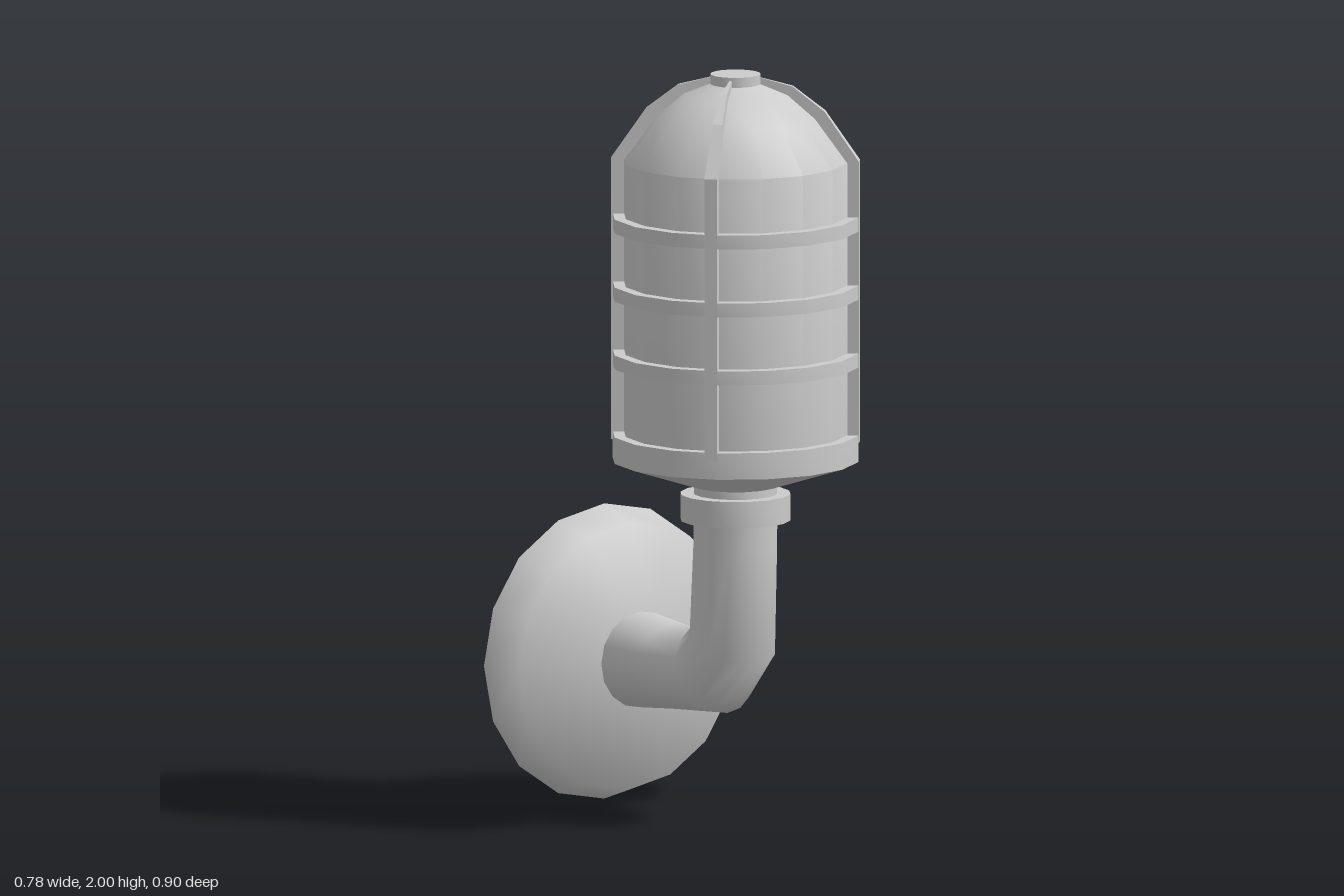
import * as THREE from 'three';
import { toCreasedNormals } from 'three/addons/utils/BufferGeometryUtils.js';

const SIDES = 16;
const AXIS_Z = 0.125; // the lamp stands in front of the wall plate

const material = new THREE.MeshStandardMaterial({ color: 0xcccccc });
const openMaterial = new THREE.MeshStandardMaterial({ color: 0xcccccc, side: THREE.DoubleSide });

const toPoints = (pairs) => pairs.map(([r, y]) => new THREE.Vector2(r, y));

function addMesh(parent, name, geometry, mat = material) {
  const mesh = new THREE.Mesh(geometry, mat);
  mesh.name = name;
  parent.add(mesh);
  return mesh;
}

// Turned part; the profile runs from bottom to top
function turned(parent, name, profile) {
  const geometry = new THREE.LatheGeometry(toPoints(profile), SIDES);
  return addMesh(parent, name, toCreasedNormals(geometry, 0.7), openMaterial);
}

// Band of rectangular section around the lamp axis
function band(parent, name, y0, y1, inner, outer) {
  return turned(parent, name, [[inner, y0], [outer, y0], [outer, y1], [inner, y1]]);
}

// Upright cage bar that follows the dome and narrows towards the axis
function ribGeometry() {
  const shape = new THREE.Shape(toPoints([
    [0.285, 1.03], [0.325, 1.03], [0.325, 1.775], [0.235, 1.905], [0.15, 1.97], [0.05, 1.995],
    [0.05, 1.96], [0.13, 1.93], [0.2, 1.87], [0.285, 1.75],
  ]));
  const geometry = new THREE.ExtrudeGeometry(shape, { depth: 1, bevelEnabled: false });
  const p = geometry.attributes.position;
  for (let i = 0; i < p.count; i++) p.setZ(i, (p.getZ(i) - 0.5) * 0.105 * p.getX(i));
  geometry.computeVertexNormals();
  return geometry;
}

// Bent pipe lofted through sections: [outer z, outer y, inner z, inner y, half width]
function pipeGeometry(sections) {
  const positions = [];
  const index = [];
  sections.forEach(([oz, oy, iz, iy, w], s) => {
    for (let j = 0; j < SIDES; j++) {
      const t = (j / SIDES) * Math.PI * 2;
      const k = Math.cos(t) / 2;
      positions.push(w * Math.sin(t), (oy + iy) / 2 + (oy - iy) * k, (oz + iz) / 2 + (oz - iz) * k);
      if (s === sections.length - 1) continue;
      const a = s * SIDES + j;
      const c = s * SIDES + ((j + 1) % SIDES);
      index.push(a, a + SIDES, c, a + SIDES, c + SIDES, c);
    }
  });
  const geometry = new THREE.BufferGeometry();
  geometry.setAttribute('position', new THREE.Float32BufferAttribute(positions, 3));
  geometry.setIndex(index);
  geometry.computeVertexNormals();
  return geometry;
}

export function createModel() {
  const model = new THREE.Group();
  model.name = 'wallLamp';

  const lamp = new THREE.Group();
  lamp.name = 'lampHead';
  lamp.position.z = AXIS_Z;
  model.add(lamp);

  // Glass with domed top
  turned(lamp, 'glass', [
    [0.295, 1.03], [0.295, 1.77], [0.21, 1.885], [0.137, 1.947], [0.05, 1.98],
  ]);

  // Base with conical underside and a short neck
  turned(lamp, 'lampBase', [
    [0.11, 0.87], [0.11, 0.91], [0.325, 0.98], [0.325, 1.05], [0.285, 1.05],
  ]);
  band(lamp, 'pipeCollar', 0.82, 0.89, 0.1, 0.145);

  // Cage: three hoops, four bars and a cap
  for (const y of [1.23, 1.41, 1.59]) band(lamp, 'cageHoop', y, y + 0.037, 0.285, 0.325);
  const rib = ribGeometry();
  for (const angle of [42, 138, 222, 318]) {
    addMesh(lamp, 'cageBar', rib).rotation.y = THREE.MathUtils.degToRad(angle);
  }
  const cap = addMesh(lamp, 'cageCap', new THREE.CylinderGeometry(0.066, 0.066, 0.03, SIDES));
  cap.position.y = 1.985;

  // Elbow pipe from the collar to the wall plate
  addMesh(model, 'elbowPipe', pipeGeometry([
    [0.237, 0.88, 0.013, 0.88, 0.11],
    [0.235, 0.75, 0.013, 0.75, 0.11],
    [0.22, 0.45, 0.003, 0.54, 0.115],
    [0.09, 0.302, -0.03, 0.515, 0.117],
    [-0.15, 0.28, -0.15, 0.506, 0.118],
    [-0.292, 0.264, -0.292, 0.518, 0.127],
  ]), openMaterial);

  // Wall plate: a shallow dish, open at the back and into the pipe
  const dish = new THREE.LatheGeometry(toPoints([[0.391, 0], [0.353, 0.107], [0.127, 0.158]]), SIDES);
  const plate = addMesh(model, 'wallPlate', dish, openMaterial);
  plate.rotation.x = Math.PI / 2;
  plate.position.set(0, 0.391, -0.45);

  return model;
}
